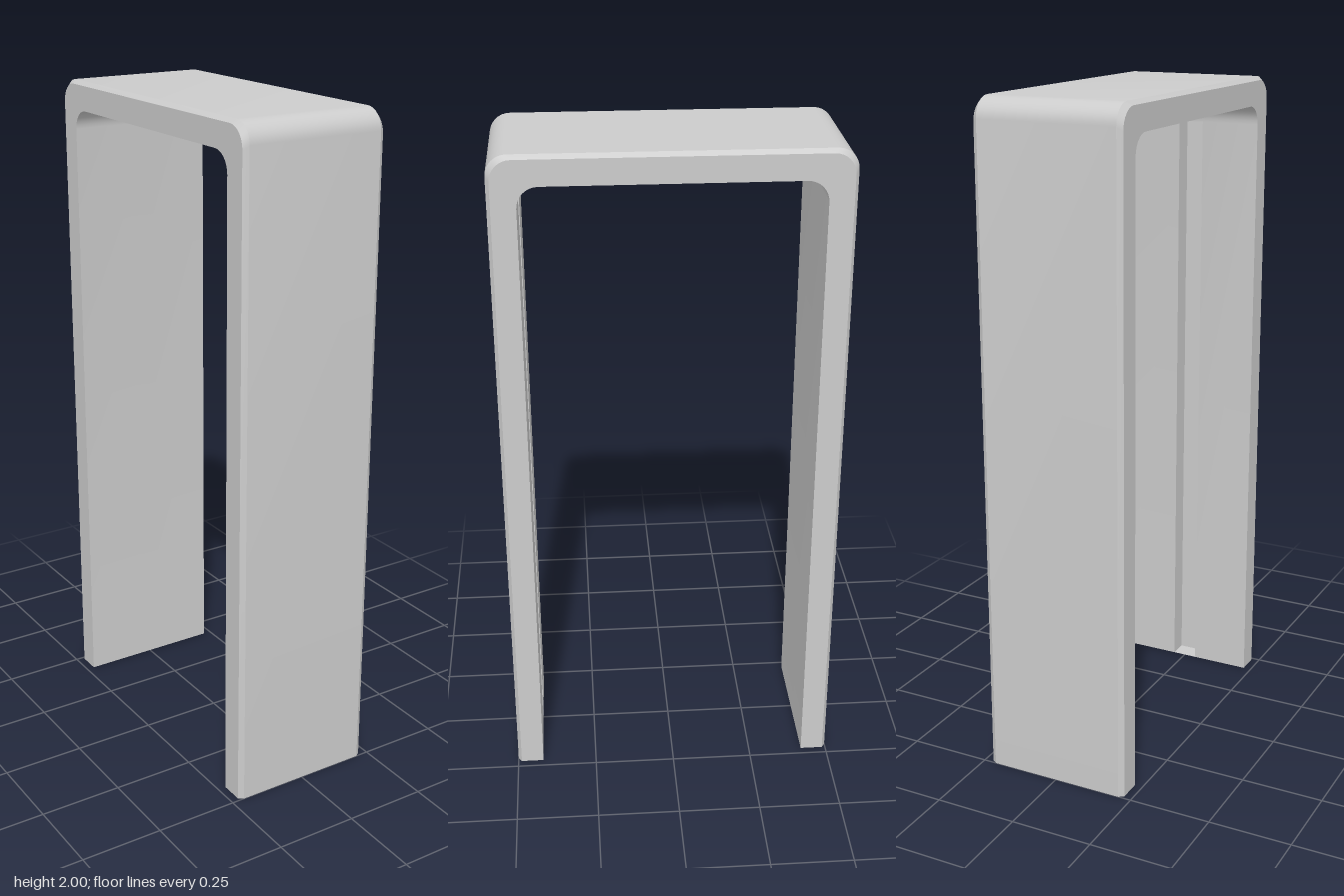
import * as THREE from 'three';
import { toCreasedNormals } from 'three/addons/utils/BufferGeometryUtils.js';

const material = new THREE.MeshStandardMaterial({ color: 0xcccccc, side: THREE.DoubleSide });

const HALF_W = 0.225, HALF_D = 0.5, HEIGHT = 2;
const INNER_D = 0.42, INNER_H = 1.915, RADIUS = 0.06;
const BEVEL_X = 0.015, BEVEL_T = 0.13;
const GROOVE_W = 0.04, GROOVE_Z = 0.48;
const STEPS = 8;

// Surface through rows of points; skip(i, j) leaves a quad open
function loft(rows, skip = () => false) {
  const pos = [];
  for (let i = 0; i < rows.length - 1; i++) {
    for (let j = 0; j < rows[i].length - 1; j++) {
      if (skip(i, j)) continue;
      const a = rows[i][j], b = rows[i][j + 1], c = rows[i + 1][j + 1], d = rows[i + 1][j];
      pos.push(...a, ...b, ...c, ...a, ...c, ...d);
    }
  }
  const geo = new THREE.BufferGeometry();
  geo.setAttribute('position', new THREE.Float32BufferAttribute(pos, 3));
  return toCreasedNormals(geo, 0.6);
}

function addMesh(parent, geometry, name) {
  const mesh = new THREE.Mesh(geometry, material);
  mesh.name = name;
  parent.add(mesh);
  return mesh;
}

// Arch outline in (z, y), from the front foot over the top to the back foot
function archPath(depth, height) {
  const front = [[depth, 0]];
  for (let k = 0; k <= STEPS; k++) {
    const a = (k / STEPS) * Math.PI / 2;
    front.push([depth - RADIUS + RADIUS * Math.cos(a), height - RADIUS + RADIUS * Math.sin(a)]);
  }
  return [...front, ...front.slice().reverse().map(([z, y]) => [-z, y])];
}

export function createModel() {
  const group = new THREE.Group();
  group.name = 'doorFrame';

  // Hollow frame: a section of (x, share of the way from outside to inside)
  const section = [
    [-HALF_W + BEVEL_X, 0], [HALF_W - BEVEL_X, 0], [HALF_W, BEVEL_T], [HALF_W, 1],
    [GROOVE_W, 1], [-GROOVE_W, 1], [-HALF_W, 1], [-HALF_W, BEVEL_T], [-HALF_W + BEVEL_X, 0],
  ];
  const outer = archPath(HALF_D, HEIGHT);
  const inner = archPath(INNER_D, INNER_H);
  const rows = outer.map(([z, y], i) => section.map(([x, t]) => [
    x,
    THREE.MathUtils.lerp(y, inner[i][1], t),
    THREE.MathUtils.lerp(z, inner[i][0], t),
  ]));
  // The slot in the front jamb stays open for the groove
  addMesh(group, loft(rows, (i, j) => i === 0 && j === 4), 'frame');

  // Groove: foot, back and curved upper end
  const mouthTop = INNER_H - RADIUS;
  const profile = [[INNER_D, 0], [GROOVE_Z, 0]];
  for (let k = 0; k <= STEPS; k++) {
    const a = (k / STEPS) * Math.PI / 2;
    profile.push([
      INNER_D + (GROOVE_Z - INNER_D) * Math.cos(a),
      mouthTop + 0.04 * (1 - Math.sin(a)),
    ]);
  }
  const groove = new THREE.Group();
  groove.name = 'groove';
  group.add(groove);
  addMesh(groove, loft(profile.map(([z, y]) => [[GROOVE_W, y, z], [-GROOVE_W, y, z]])), 'grooveBack');

  // Groove side walls
  const wallShape = new THREE.Shape(profile.map(([z, y]) => new THREE.Vector2(z, y)));
  for (const side of [-1, 1]) {
    const wall = new THREE.ShapeGeometry(wallShape).rotateY(-Math.PI / 2);
    addMesh(groove, wall, side > 0 ? 'grooveWallLeft' : 'grooveWallRight').position.x = side * GROOVE_W;
  }
  return group;
}
